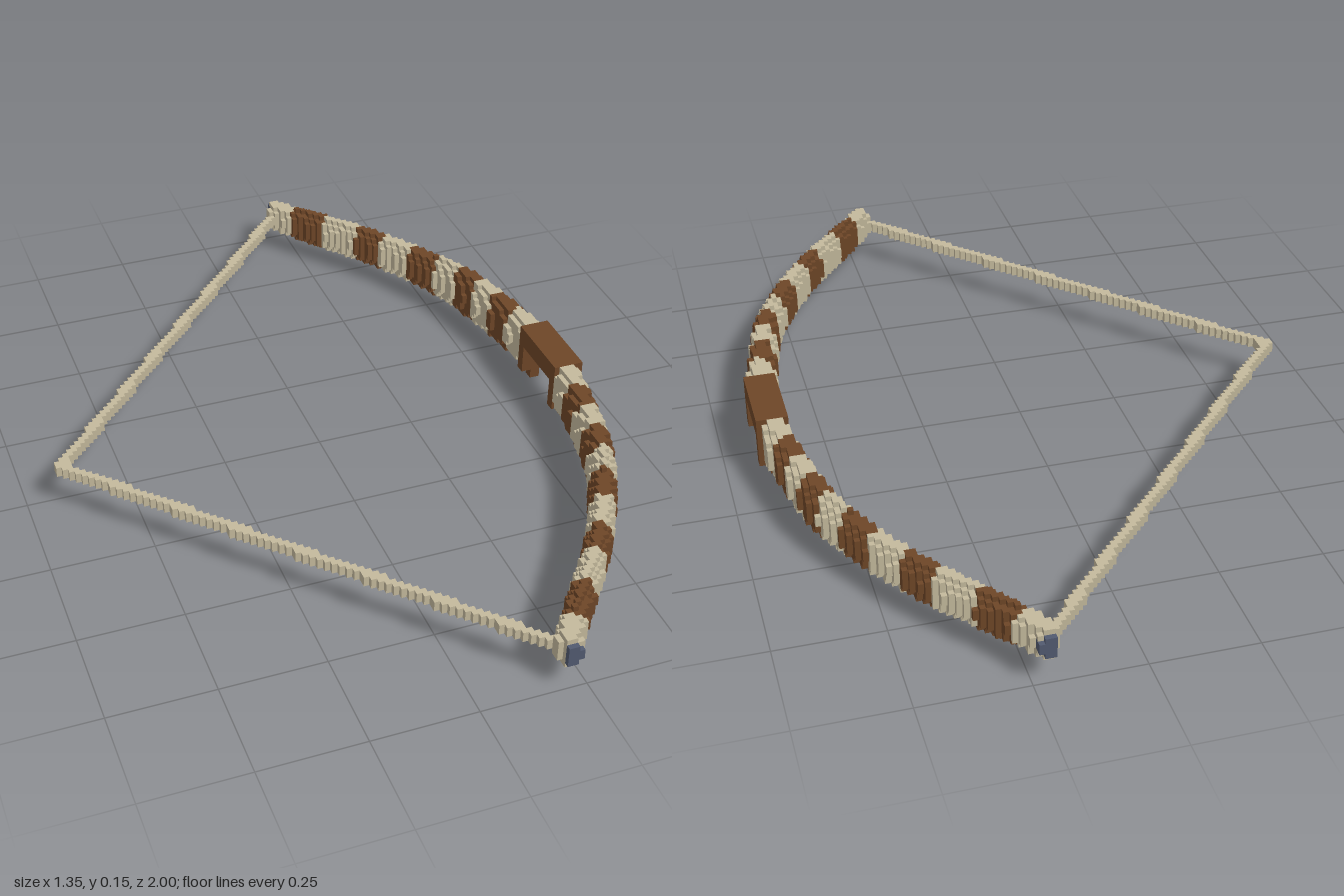
import * as THREE from 'three';

const H = 2 / 156;             // block size
const NX = 105, NY = 12, NZ = 156;
const MID = 7 * H;             // height of the limb axis

const materials = {};
for (const [name, color] of [['bone', 0xc4b99c], ['leather', 0x6e4627], ['steel', 0x525a70]]) {
  materials[name] = new THREE.MeshStandardMaterial({ color });
  materials[name].name = name;
}

// part name -> material
const parts = { limbs: 'bone', limbWraps: 'leather', grip: 'leather', string: 'bone', nocks: 'steel' };

// half of the bow's curve (x, z), mirrored in z
const curve = new THREE.SplineCurve([
  [0.633, -0.1], [0.633, 0], [0.63, 0.1], [0.616, 0.2], [0.573, 0.4], [0.507, 0.55],
  [0.418, 0.7], [0.302, 0.85], [0.214, 0.965],
].map(p => new THREE.Vector2(...p)));
const samples = curve.getPoints(320);

// leather bands along the limb, as ranges of |z|
const bands = [[0.185, 0.268], [0.345, 0.425], [0.5, 0.585], [0.67, 0.745], [0.83, 0.915]];

function nearest(x, z) {
  let best = samples[0], d2 = Infinity;
  for (const s of samples) {
    const e = (s.x - x) ** 2 + (s.y - z) ** 2;
    if (e < d2) { d2 = e; best = s; }
  }
  return { d: Math.sqrt(d2), z: best.y };
}

// which part, if any, fills a block
function partAt(x, y, z, near) {
  const dy = y - MID;
  // steel nocks at the ends of the limbs
  const end = z > 0 ? 1 - H : 1 - 2 * H;
  if (Math.abs(z) > end && Math.hypot(x - 0.215, dy) < 1.75 * H) return 'nocks';
  const az = Math.abs(z);
  // grip with an open notch below
  if (az < 0.105) {
    const inX = x > 0.595 && x < 0.673;
    if (az < 0.073) return inX && y > 8 * H ? 'grip' : stringAt(x, dy, az);
    if (inX && (y > 2 * H || (x > 0.617 && x < 0.652))) return 'grip';
    return stringAt(x, dy, az);
  }
  // limbs: oval section, tapering to the tips
  const t = near.z;
  const rn = THREE.MathUtils.lerp(0.038, 0.027, Math.min(1, t / 0.6));
  const ry = t < 0.4 ? 5.15 * H : THREE.MathUtils.lerp(4.8, 3.4, (t - 0.4) / 0.57) * H;
  if (az < 1 - H && (near.d / rn) ** 2 + (dy / ry) ** 2 < 1) {
    return bands.some(([a, b]) => t > a && t < b) ? 'limbWraps' : 'limbs';
  }
  return stringAt(x, dy, az);
}

// drawn string, two blocks thick
function stringAt(x, dy, az) {
  const xc = -0.66 + 0.875 * az / 0.975;
  return az < 0.98 && Math.abs(dy) < H && Math.abs(x - xc) < 1.1 * H ? 'string' : null;
}

const faces = [
  [[1, 0, 0], [[1, 0, 0], [1, 1, 0], [1, 1, 1], [1, 0, 1]]],
  [[-1, 0, 0], [[0, 0, 1], [0, 1, 1], [0, 1, 0], [0, 0, 0]]],
  [[0, 1, 0], [[0, 1, 0], [0, 1, 1], [1, 1, 1], [1, 1, 0]]],
  [[0, -1, 0], [[0, 0, 1], [0, 0, 0], [1, 0, 0], [1, 0, 1]]],
  [[0, 0, 1], [[0, 0, 1], [1, 0, 1], [1, 1, 1], [0, 1, 1]]],
  [[0, 0, -1], [[1, 0, 0], [0, 0, 0], [0, 1, 0], [1, 1, 0]]],
];

export function createModel() {
  const group = new THREE.Group();
  group.name = 'bow';

  // fill the block grid
  const cells = new Map();
  const key = (i, j, k) => (i * 64 + j + 1) * 256 + k + 1;
  for (let i = 0; i < NX; i++) for (let k = 0; k < NZ; k++) {
    const x = (i + 0.5 - NX / 2) * H, z = (k + 0.5 - NZ / 2) * H;
    const near = nearest(x, Math.abs(z));
    for (let j = 0; j < NY; j++) {
      const part = partAt(x, (j + 0.5) * H, z, near);
      if (part) cells.set(key(i, j, k), { part, i, j, k });
    }
  }

  // keep only the exposed block faces, one mesh per part
  const data = {};
  for (const name in parts) data[name] = { position: [], normal: [], index: [] };
  for (const { part, i, j, k } of cells.values()) {
    const g = data[part];
    for (const [n, corners] of faces) {
      if (cells.has(key(i + n[0], j + n[1], k + n[2]))) continue;
      const b = g.position.length / 3;
      for (const c of corners) {
        g.position.push((i + c[0] - NX / 2) * H, (j + c[1]) * H, (k + c[2] - NZ / 2) * H);
        g.normal.push(...n);
      }
      g.index.push(b, b + 1, b + 2, b, b + 2, b + 3);
    }
  }
  for (const name in parts) {
    const geometry = new THREE.BufferGeometry();
    geometry.setAttribute('position', new THREE.Float32BufferAttribute(data[name].position, 3));
    geometry.setAttribute('normal', new THREE.Float32BufferAttribute(data[name].normal, 3));
    geometry.setIndex(data[name].index);
    const mesh = new THREE.Mesh(geometry, materials[parts[name]]);
    mesh.name = name;
    group.add(mesh);
  }
  return group;
}
